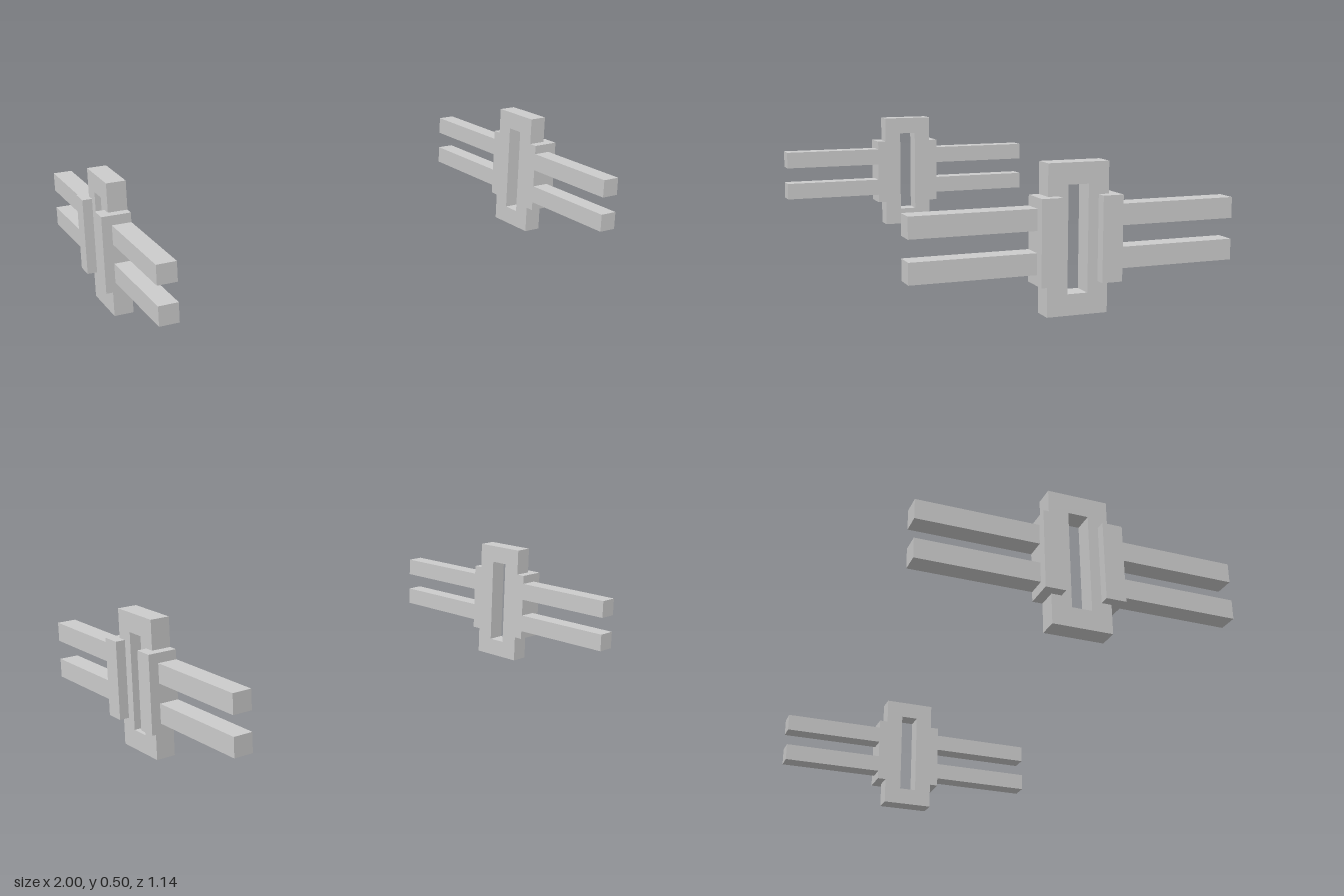
import * as THREE from 'three';

const U = 1 / 28; // grid step all sizes are multiples of
const INNER = 25 * U, OUTER = 27 * U; // frame thickness range along x
const material = new THREE.MeshStandardMaterial({ color: 0xcccccc, flatShading: true });

function part(name, geometry) {
  const mesh = new THREE.Mesh(geometry, material);
  mesh.name = name;
  return mesh;
}

function polygon(points, Type = THREE.Shape) {
  return new Type(points.map(([a, b]) => new THREE.Vector2(a * U, b * U)));
}

// Upright rectangular frame with a tall slot
function frameGeometry() {
  const shape = polygon([[-3, 0], [3, 0], [3, 14], [-3, 14]]);
  shape.holes.push(polygon([[-1, 2], [-1, 12], [1, 12], [1, 2]], THREE.Path));
  return new THREE.ExtrudeGeometry(shape, { depth: OUTER - INNER, bevelEnabled: false })
    .rotateY(Math.PI / 2)
    .translate(INNER, 0, 0);
}

// L-shaped bracket wrapping the frame's edge and outer face
function bracketGeometry(s) {
  const shape = polygon([[25, 3], [25, 4], [28, 4], [28, 2], [27, 2], [27, 3]].map(([x, z]) => [x, -s * z]));
  return new THREE.ExtrudeGeometry(shape, { depth: 8 * U, bevelEnabled: false })
    .rotateX(-Math.PI / 2)
    .translate(0, 3 * U, 0);
}

function createSide(name) {
  const side = new THREE.Group();
  side.name = name;
  side.add(part('frame', frameGeometry()));
  for (const s of [1, -1]) {
    const end = s > 0 ? 'front' : 'back';
    side.add(part(end + 'Bracket', bracketGeometry(s)));
    // Pair of rails running out from the bracket
    for (const [level, y] of [['Lower', 5], ['Upper', 7 + 2]]) {
      const rail = part(end + level + 'Rail', new THREE.BoxGeometry(2 * U, 2 * U, 12 * U));
      rail.position.set(26 * U, y * U, s * 10 * U);
      side.add(rail);
    }
  }
  return side;
}

export function createModel() {
  const model = new THREE.Group();
  model.name = 'sideRails';
  const left = createSide('leftSide');
  const right = createSide('rightSide');
  right.rotation.y = Math.PI; // each side is symmetric front to back
  model.add(left, right);
  return model;
}
